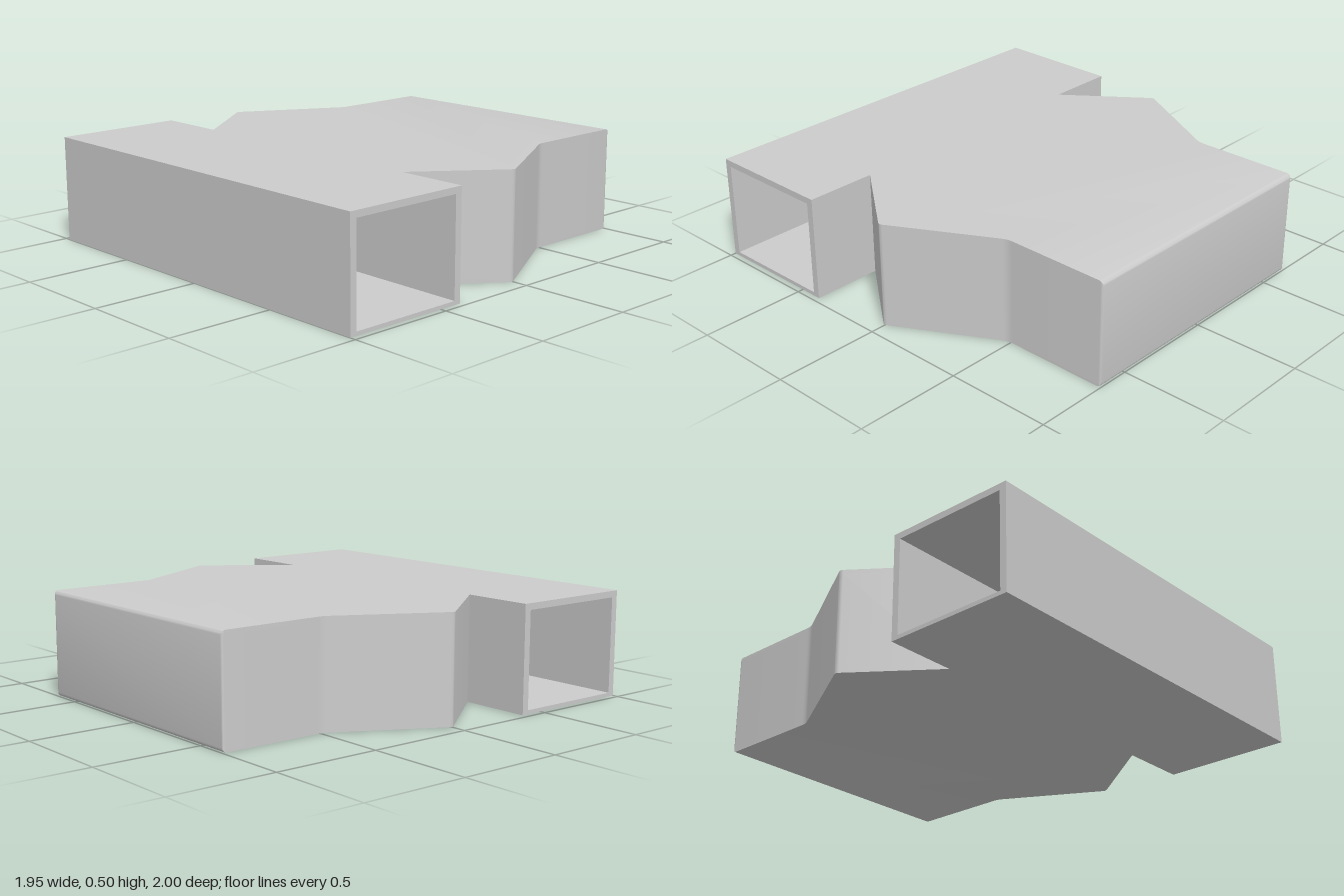
import * as THREE from 'three';
import { toCreasedNormals } from 'three/addons/utils/BufferGeometryUtils.js';

const H = 0.495;      // overall height
const HALF_X = 0.973; // half length of the front sleeve
const SEAM = 0.387;   // z where the body meets the sleeve
const R = 0.02;       // edge rounding at the back

// Closed shape from [x, y, rounding] corners
function roundedShape(corners) {
  const shape = new THREE.Shape();
  const n = corners.length;
  corners.forEach(([x, y, r], i) => {
    const c = new THREE.Vector2(x, y);
    const toward = ([px, py]) => new THREE.Vector2(px, py).sub(c).setLength(r).add(c);
    const a = toward(corners[(i + n - 1) % n]);
    const b = toward(corners[(i + 1) % n]);
    if (i === 0) shape.moveTo(a.x, a.y);
    else shape.lineTo(a.x, a.y);
    if (r > 0) shape.quadraticCurveTo(c.x, c.y, b.x, b.y);
  });
  shape.closePath();
  return shape;
}

function rect(Type, x0, y0, x1, y1) {
  return new Type([[x0, y0], [x1, y0], [x1, y1], [x0, y1]].map(p => new THREE.Vector2(...p)));
}

// Solid body with angled flanks; its back edges are softened top and bottom
function bodyGeometry() {
  const side = [[0.635, -SEAM, 0], [0.927, -0.005, 0.015], [0.655, 0.485, 0.025], [0.655, 1, 0.012]];
  const mirrored = side.map(([x, y, r]) => [-x, y, r]).reverse();
  const arc = [0, 1, 2, 3, 4].map(i => {
    const t = (i / 4) * Math.PI / 2;
    return [R * (1 - Math.cos(t)), R * (1 - Math.sin(t))]; // height, inset
  });
  const levels = [...arc, ...arc.map(([y, inset]) => [H - y, inset]).reverse()];
  const steps = levels.length - 1;
  const g = new THREE.ExtrudeGeometry(roundedShape([...side, ...mirrored]),
    { depth: steps, steps, bevelEnabled: false, curveSegments: 4 });
  g.rotateX(-Math.PI / 2);
  const p = g.attributes.position;
  for (let i = 0; i < p.count; i++) {
    const [y, inset] = levels[Math.round(p.getY(i))];
    p.setY(i, y);
    p.setZ(i, Math.max(p.getZ(i), -1 + inset));
  }
  return toCreasedNormals(g, 0.55);
}

// Rectangular sleeve, open at both ends
function sleeveGeometry() {
  const shape = rect(THREE.Shape, -1, 0, -SEAM, H);
  shape.holes.push(rect(THREE.Path, -0.968, 0.018, -0.42, H - 0.03));
  const g = new THREE.ExtrudeGeometry(shape, { depth: 2 * HALF_X, bevelEnabled: false });
  g.translate(0, 0, -HALF_X);
  g.rotateY(Math.PI / 2);
  return g;
}

export function createModel() {
  const group = new THREE.Group();
  group.name = 'sleevedBlock';
  const material = new THREE.MeshStandardMaterial({ color: 0xcccccc });
  const parts = { body: bodyGeometry(), frontSleeve: sleeveGeometry() };
  for (const [name, geometry] of Object.entries(parts)) {
    const mesh = new THREE.Mesh(geometry, material);
    mesh.name = name;
    group.add(mesh);
  }
  return group;
}
